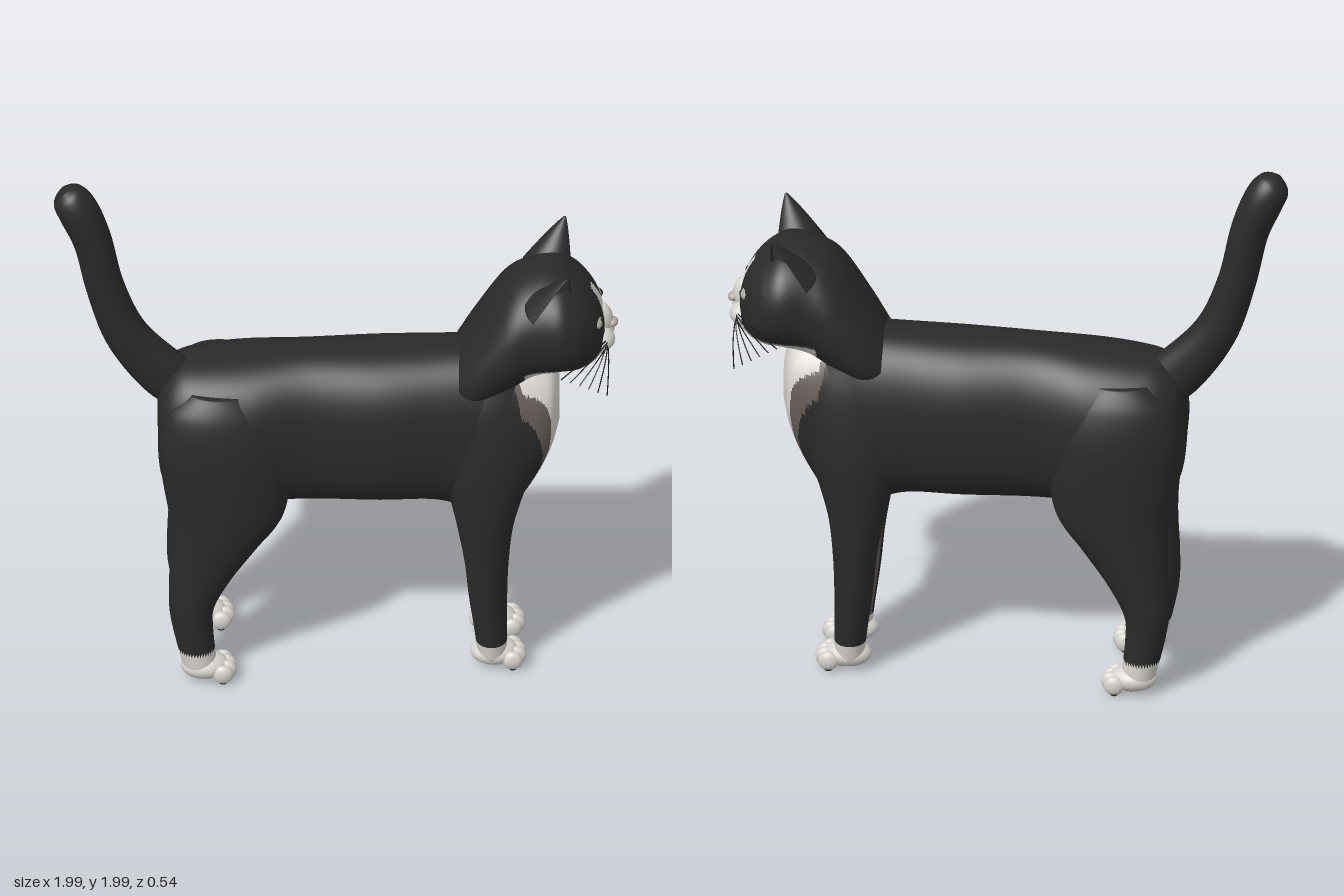
import * as THREE from 'three';

const mat = (name, color, side = THREE.FrontSide) =>
  Object.assign(new THREE.MeshStandardMaterial({ color, side }), { name });

// Smoothly interpolate a table of key rows at t in 0..1 (Catmull-Rom)
function sample(keys, t) {
  const n = keys.length - 1, f = t * n, i = Math.min(Math.floor(f), n - 1), u = f - i;
  const at = k => keys[Math.max(0, Math.min(n, k))];
  const [a, b, c, d] = [at(i - 1), at(i), at(i + 1), at(i + 2)];
  return b.map((q, k) => q + 0.5 * u * (c[k] - a[k] +
    u * (2 * a[k] - 5 * q + 4 * c[k] - d[k] + u * (3 * (q - c[k]) + d[k] - a[k]))));
}

// Closed skin through cross-sections; rule(point, u, v) picks a material index per face
function loft(name, keys, place, mats, rule = () => 0, rings = 60, segs = 56) {
  const pts = [], uv = [], tris = [];
  for (let j = 0; j <= rings; j++) {
    const row = sample(keys, j / rings);
    for (let i = 0; i < segs; i++) {
      pts.push(new THREE.Vector3(...place(row, (i / segs) * Math.PI * 2)));
      uv.push([i / segs, j / rings]);
    }
  }
  for (let j = 0; j < rings; j++) for (let i = 0; i < segs; i++) {
    const a = j * segs + i, b = j * segs + (i + 1) % segs;
    tris.push([a, b, a + segs], [b, b + segs, a + segs]);
  }
  for (const j of [0, rings]) {
    const mid = new THREE.Vector3(), o = j * segs, k = pts.length;
    for (let i = 0; i < segs; i++) mid.addScaledVector(pts[o + i], 1 / segs);
    pts.push(mid); uv.push([0, j / rings]);
    for (let i = 0; i < segs; i++) {
      const a = o + i, b = o + (i + 1) % segs;
      tris.push(j ? [a, b, k] : [b, a, k]);
    }
  }
  // Turn the skin outwards whatever the direction of the sections
  let volume = 0;
  const cross = new THREE.Vector3();
  for (const [a, b, c] of tris) volume += pts[a].dot(cross.crossVectors(pts[b], pts[c]));
  const buckets = mats.map(() => []);
  for (const [a, b, c] of tris) {
    const p = pts[a].clone().add(pts[b]).add(pts[c]).divideScalar(3);
    buckets[rule(p, uv[a][0], uv[a][1])].push(...(volume > 0 ? [a, b, c] : [a, c, b]));
  }
  const g = new THREE.BufferGeometry().setFromPoints(pts);
  g.setIndex(buckets.flat());
  let start = 0;
  buckets.forEach((b, m) => { g.addGroup(start, b.length, m); start += b.length; });
  g.computeVertexNormals();
  const mesh = new THREE.Mesh(g, mats);
  mesh.name = name;
  return mesh;
}

const bulge = (v, e) => Math.sign(v) * Math.abs(v) ** e;

export function createModel() {
  const cat = new THREE.Group();
  cat.name = 'cat';
  const black = mat('black fur', 0x2a2a2a), white = mat('white fur', 0xd6d2cd);
  const taupe = mat('taupe fur edge', 0x645c57), inner = mat('inner ear', 0x484443);
  const pad = mat('paw pad', 0x3d3735), iris = mat('iris', 0xa9aa9c);
  const nose = mat('nose', 0xbba9a3), dark = mat('pupil and whisker', 0x171717);
  const fur = [black, white, taupe];

  const ball = (name, m, [x, y, z], [sx, sy, sz]) => {
    const mesh = new THREE.Mesh(new THREE.SphereGeometry(1, 24, 16), m);
    mesh.position.set(x, y, z);
    mesh.scale.set(sx, sy, sz);
    mesh.name = name;
    cat.add(mesh);
  };

  // White bib with a taupe fringe, narrowing down the chest, and a belly strip
  const bibKeys = [[0.02], [0.05], [0.10], [0.145], [0.16], [0.16]];
  const coat = p => {
    if (p.x > 0.6 && p.y > 0.6) {
      const w = sample(bibKeys, Math.min(1, (p.y - 0.6) / 0.62))[0], z = Math.abs(p.z);
      const edge = 0.62 + Math.max(0, 1 - Math.abs(p.y - 1.05) / 0.3) * 0.06;
      if (z < w && p.x > edge) return 1;
      if (z < w + 0.025 && p.x > edge - 0.02) return 2;
    }
    return p.y < 0.715 && Math.abs(p.z) < 0.085 && p.x > -0.25 && p.x < 0.5 ? 2 : 0;
  };

  // Sections along x: x, top, bottom, half width
  const along = e => ([x, top, bottom, w], a) =>
    [x, (top + bottom) / 2 + (top - bottom) / 2 * bulge(Math.sin(a), e), w * bulge(Math.cos(a), e)];
  cat.add(loft('body', [
    [-0.625, 1.13, 0.85, 0.1], [-0.61, 1.19, 0.78, 0.16], [-0.55, 1.245, 0.72, 0.2],
    [-0.45, 1.265, 0.69, 0.23], [-0.3, 1.28, 0.69, 0.235], [-0.1, 1.295, 0.69, 0.205],
    [0.15, 1.3, 0.685, 0.22], [0.35, 1.305, 0.68, 0.21], [0.5, 1.31, 0.63, 0.205],
    [0.6, 1.31, 0.62, 0.2], [0.66, 1.3, 0.7, 0.19], [0.72, 1.28, 0.81, 0.175],
    [0.76, 1.25, 0.91, 0.15], [0.785, 1.2, 1.0, 0.09],
  ], along(0.85), fur, coat, 130, 80));

  // Head and neck, with a white jaw and blaze
  const face = p => {
    const z = Math.abs(p.z);
    if (p.x > 0.66 && p.y < 1.375 - 0.5 * z) return 1;
    if (p.x > 0.66 && p.y < 1.387 - 0.5 * z) return 2;
    return p.x > 0.86 && p.y < 1.55 && z < 0.018 + (1.55 - p.y) * 0.22 ? 1 : 0;
  };
  cat.add(loft('head', [
    [0.43, 1.3, 1.1, 0.165], [0.5, 1.42, 1.1, 0.2], [0.6, 1.57, 1.15, 0.217],
    [0.69, 1.625, 1.21, 0.215], [0.78, 1.635, 1.235, 0.23], [0.84, 1.605, 1.24, 0.215],
    [0.88, 1.57, 1.25, 0.185], [0.91, 1.53, 1.265, 0.15], [0.93, 1.49, 1.28, 0.105],
    [0.945, 1.44, 1.31, 0.05],
  ], along(0.95), fur, face, 110, 88));

  // Muzzle
  ball('noseBridge', white, [0.93, 1.405, 0], [0.045, 0.065, 0.036]);
  ball('noseTip', nose, [0.973, 1.39, 0], [0.02, 0.017, 0.024]);
  ball('chin', white, [0.925, 1.3, 0], [0.035, 0.035, 0.05]);

  // Tail: x, y, thickness, half width, tilt of the section
  cat.add(loft('tail', [
    [-0.48, 1.1, 0.09, 0.07, 0.7], [-0.6, 1.19, 0.095, 0.07, 0.75], [-0.735, 1.36, 0.078, 0.07, 0.5],
    [-0.81, 1.56, 0.068, 0.07, 0.25], [-0.855, 1.76, 0.068, 0.075, 0.3],
    [-0.905, 1.89, 0.072, 0.078, 0.5], [-0.943, 1.955, 0.06, 0.06, 0.6], [-0.958, 1.982, 0.02, 0.025, 0.6],
  ], ([x, y, r, w, t], a) =>
    [x + r * Math.cos(t) * Math.cos(a), y + r * Math.sin(t) * Math.cos(a), w * Math.sin(a)],
  [black], () => 0, 50, 28));

  // Leg sections up y: y, back, front, inner side, outer side
  const hindLeg = [
    [0.05, -0.54, -0.42, 0.105, 0.225], [0.2, -0.575, -0.435, 0.09, 0.225], [0.3, -0.59, -0.43, 0.08, 0.23],
    [0.42, -0.59, -0.37, 0.07, 0.235], [0.55, -0.585, -0.28, 0.05, 0.245], [0.68, -0.59, -0.19, 0.03, 0.255],
    [0.85, -0.615, -0.16, 0.02, 0.262], [1.0, -0.625, -0.17, 0.02, 0.26],
    [1.12, -0.6, -0.22, 0.02, 0.235], [1.2, -0.52, -0.3, 0.05, 0.19],
  ];
  const frontLeg = [
    [0.05, 0.495, 0.6, 0.05, 0.165], [0.15, 0.485, 0.6, 0.045, 0.18], [0.3, 0.465, 0.6, 0.04, 0.195],
    [0.45, 0.45, 0.605, 0.035, 0.205], [0.6, 0.425, 0.62, 0.03, 0.215], [0.72, 0.4, 0.65, 0.02, 0.222],
    [0.85, 0.37, 0.69, 0.02, 0.225], [1.0, 0.36, 0.72, 0.02, 0.215],
    [1.12, 0.38, 0.71, 0.02, 0.195], [1.22, 0.45, 0.67, 0.05, 0.16],
  ];
  // Ear: base corners and tip
  const earFront = new THREE.Vector3(0.83, 1.55, 0.085), earBack = new THREE.Vector3(0.69, 1.53, 0.215);
  const earMid = earFront.clone().add(earBack).divideScalar(2);
  const earHalf = earBack.clone().sub(earFront).divideScalar(2);
  const earDepth = new THREE.Vector3(-0.07, 0.04, -0.06), earTip = new THREE.Vector3(0.812, 1.712, 0.195);

  for (const s of [1, -1]) {
    const side = s > 0 ? 'left' : 'right';
    const upright = ([y, x0, x1, z0, z1], a) => [(x0 + x1) / 2 + (x1 - x0) / 2 * Math.cos(a), y,
      s * ((z0 + z1) / 2 + (z1 - z0) / 2 * Math.sin(a))];
    cat.add(loft(side + 'HindLeg', hindLeg, upright, fur, p => (p.y < 0.13 ? 1 : 0), 90, 40));
    cat.add(loft(side + 'FrontLeg', frontLeg, upright, fur, p => (p.y < 0.11 ? 1 : coat(p)), 90, 48));

    // Paws with four toes and dark pads underneath
    for (const [end, x, z] of [['Hind', -0.465, 0.165], ['Front', 0.555, 0.1]]) {
      ball(side + end + 'Paw', white, [x, 0.055, s * z], [0.085, 0.046, 0.066]);
      ball(side + end + 'PawPad', pad, [x + 0.01, 0.018, s * z], [0.035, 0.014, 0.03]);
      for (let i = 0; i < 4; i++) {
        const k = i - 1.5, tx = x + 0.083 - Math.abs(k) * 0.013, tz = s * (z + k * 0.033);
        ball(side + end + 'Toe', white, [tx, 0.042, tz], [0.036, 0.036, 0.021]);
        ball(side + end + 'ToePad', pad, [tx, 0.014, tz], [0.016, 0.013, 0.012]);
      }
    }

    // Cupped ear, open to the front and side
    cat.add(loft(side + 'Ear', [[0], [0.33], [0.67], [0.98]], ([t], a) => {
      const k = (1 - t) ** 0.85, d = Math.sin(a) > 0 ? Math.sin(a) : -0.35 * Math.sin(a);
      const p = earMid.clone().lerp(earTip, t).addScaledVector(earHalf, k * Math.cos(a))
        .addScaledVector(earDepth, k * d);
      return [p.x, p.y, s * p.z];
    }, [black, inner], (p, u, v) => (u > 0.55 && u < 0.95 && v < 0.85 ? 1 : 0), 24, 40));

    // Eye, whisker pad and whiskers
    ball(side + 'Eye', iris, [0.911, 1.45, s * 0.09], [0.026, 0.022, 0.036]);
    ball(side + 'Pupil', dark, [0.929, 1.45, s * 0.092], [0.012, 0.016, 0.009]);
    ball(side + 'WhiskerPad', white, [0.932, 1.345, s * 0.038], [0.05, 0.042, 0.05]);
    for (let i = 0; i < 6; i++) {
      const curve = new THREE.QuadraticBezierCurve3(
        new THREE.Vector3(0.955, 1.33 + (i % 3) * 0.014, s * 0.06),
        new THREE.Vector3(0.96 - i * 0.008, 1.34 + i * 0.008, s * 0.16),
        new THREE.Vector3(0.95 - i * 0.033, 1.19 + i * 0.028, s * (0.17 + i * 0.02)));
      const whisker = new THREE.Mesh(new THREE.TubeGeometry(curve, 10, 0.0022, 5), dark);
      whisker.name = side + 'Whisker';
      cat.add(whisker);
    }
  }
  return cat;
}
